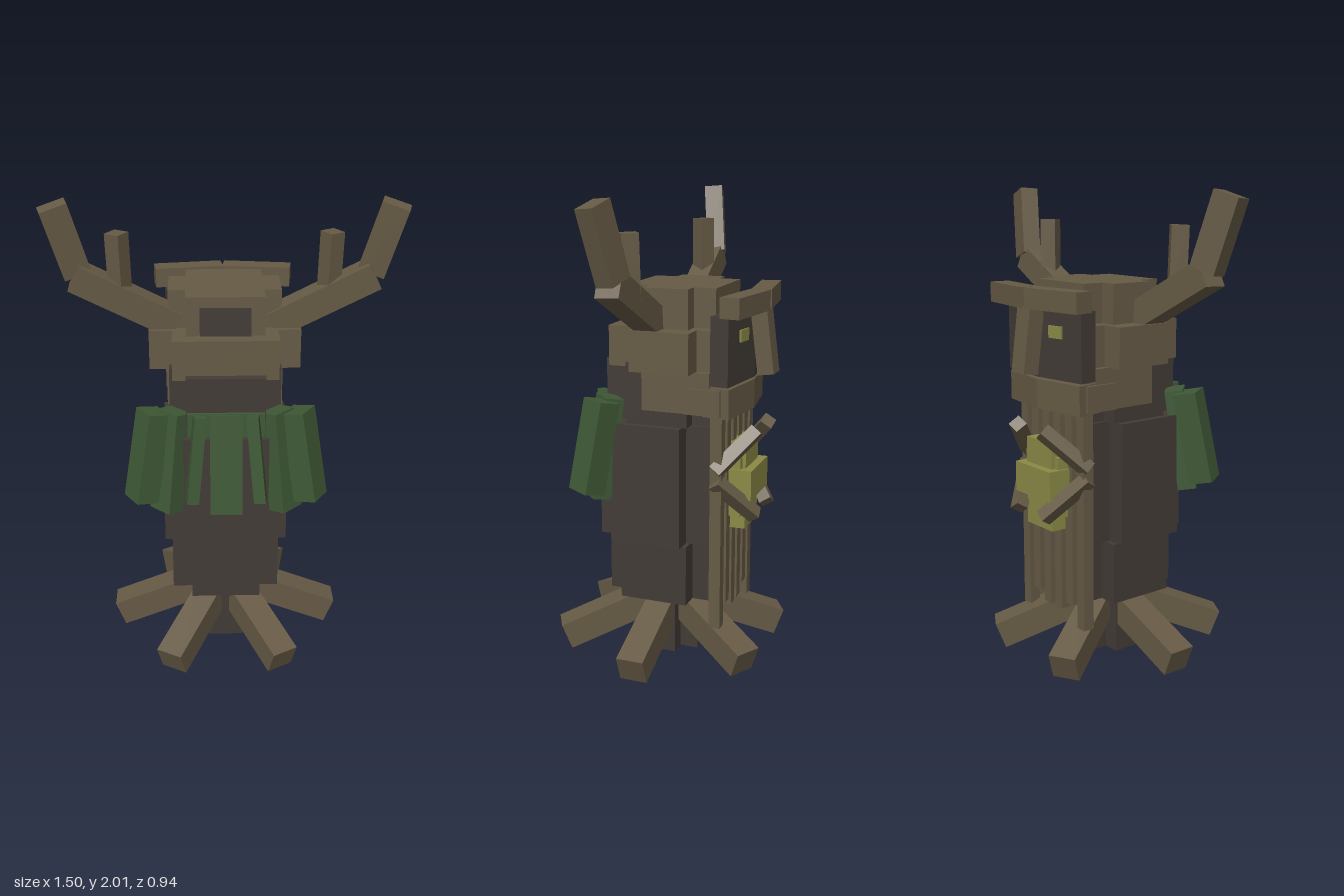
import * as THREE from 'three';

const mat = (name, color) => {
  const m = new THREE.MeshStandardMaterial({ color });
  m.name = name;
  return m;
};

export function createModel() {
  const bark = mat('bark', 0x665a45);
  const dark = mat('dark wood', 0x423b36);
  const leaf = mat('leaf green', 0x3f5936);
  const moss = mat('glowing moss', 0x8b8a46);
  const root = new THREE.Group();
  root.name = 'treeSpirit';

  // Box given by its extents along each axis
  const box = (name, m, x0, x1, y0, y1, z0, z1, parent = root) => {
    const mesh = new THREE.Mesh(new THREE.BoxGeometry(x1 - x0, y1 - y0, z1 - z0), m);
    mesh.position.set((x0 + x1) / 2, (y0 + y1) / 2, (z0 + z1) / 2);
    mesh.name = name;
    parent.add(mesh);
    return mesh;
  };
  // Square beam running between two points
  const up = new THREE.Vector3(0, 1, 0);
  const beam = (name, m, a, b, w, d, twist = 0) => {
    const p = new THREE.Vector3(...a), q = new THREE.Vector3(...b);
    const mesh = new THREE.Mesh(new THREE.BoxGeometry(w, p.distanceTo(q), d), m);
    mesh.position.copy(p).add(q).multiplyScalar(0.5);
    mesh.quaternion.setFromUnitVectors(up, q.sub(p).normalize());
    mesh.rotateY(twist);
    mesh.name = name;
    root.add(mesh);
  };
  // Plus-shaped block made from two crossing boxes
  const cross = (name, m, y0, y1, wideX, wideZ0, wideZ1, deepX, deepZ0, deepZ1) => {
    box(name + 'Wide', m, -wideX, wideX, y0, y1, wideZ0, wideZ1);
    box(name + 'Deep', m, -deepX, deepX, y0, y1, deepZ0, deepZ1);
  };

  // Trunk
  cross('trunkBase', dark, 0, 0.28, 0.15, -0.07, 0.07, 0.08, -0.15, 0.15);
  cross('trunkLower', dark, 0.27, 0.535, 0.235, -0.15, 0.15, 0.15, -0.23, 0.235);
  cross('trunkUpper', dark, 0.535, 1.06, 0.265, -0.13, 0.18, 0.18, -0.25, 0.265);
  cross('neck', dark, 1.06, 1.32, 0.235, -0.15, 0.12, 0.165, -0.24, 0.235);

  // Hood and crown
  box('hoodSides', bark, -0.245, 0.245, 1.125, 1.3, -0.25, 0.045);
  cross('hood', bark, 1.3, 1.47, 0.317, -0.187, 0.07, 0.22, -0.31, 0.2);
  cross('crown', bark, 1.47, 1.635, 0.235, -0.155, 0.04, 0.163, -0.25, 0.137);
  box('crownPanel', dark, -0.105, 0.105, 1.47, 1.59, 0.136, 0.143);

  // Face, brows, eyes and chin: two halves swept back from the centre
  for (const s of [-1, 1]) {
    const half = new THREE.Group();
    half.name = s > 0 ? 'faceLeft' : 'faceRight';
    half.position.z = -0.37;
    half.rotation.y = -s * 0.14;
    root.add(half);
    const side = (name, m, x0, x1, ...r) =>
      box(name, m, Math.min(s * x0, s * x1), Math.max(s * x0, s * x1), ...r, half);
    side('facePlate', dark, 0, 0.26, 1.25, 1.535, 0, 0.08);
    side('brow', bark, 0, 0.3, 1.535, 1.62, -0.065, 0.02);
    side('eye', moss, 0.08, 0.155, 1.42, 1.47, -0.008, 0.001);
    side('chin', bark, 0, 0.25, 1.115, 1.24, 0, 0.12);
    box('cheek', bark, s * 0.225 - 0.03, s * 0.225 + 0.03, 1.125, 1.235, -0.3, -0.15);
  }
  beam('nose', bark, [0, 1.27, -0.43], [0, 1.54, -0.395], 0.09, 0.07);

  // Beard strands
  [[0.2, 0.18], [0.12, 0.27], [0.04, 0.23]].forEach(([x, y]) => {
    for (const s of [-1, 1])
      box('beardStrand', bark, s * x - 0.024, s * x + 0.024, y, 1.3, -0.3, -0.25);
  });

  // Glowing heart held by four twigs
  box('heartCore', moss, -0.09, 0.09, 0.6, 0.98, -0.365, -0.25);
  box('heartMiddle', moss, -0.115, 0.115, 0.66, 0.92, -0.35, -0.25);
  box('heartFront', moss, -0.125, 0.125, 0.74, 0.87, -0.4, -0.25);
  for (const s of [-1, 1]) {
    beam('upperTwig', bark, [s * 0.22, 0.88, -0.27], [s * 0.09, 1.04, -0.41], 0.055, 0.055);
    beam('lowerTwig', bark, [s * 0.22, 0.84, -0.27], [s * 0.09, 0.67, -0.41], 0.055, 0.055);
  }

  // Six roots spread around the base
  for (let i = 0; i < 6; i++) {
    const arm = new THREE.Group();
    arm.name = 'root';
    arm.rotation.y = i * Math.PI / 3;
    root.add(arm);
    const r = box('rootBeam', bark, -0.2, 0.2, -0.06, 0.06, -0.06, 0.06, arm);
    r.position.set(0.302, 0.13, 0);
    r.rotation.z = -0.375;
  }

  // Antlers
  for (const s of [-1, 1]) {
    beam('antlerBranch', bark, [s * 0.2, 1.48, 0], [s * 0.615, 1.695, 0.02], 0.115, 0.1);
    beam('antlerTip', bark, [s * 0.605, 1.7, 0.005], [s * 0.685, 1.99, 0.048], 0.115, 0.08, -s * 0.25);
    beam('antlerProng', bark, [s * 0.43, 1.6, 0.01], [s * 0.437, 1.87, 0.015], 0.07, 0.07, s * 0.6);
  }

  // Leaf mantle
  box('leafCollar', leaf, -0.16, 0.16, 1.065, 1.17, 0.2, 0.25);
  beam('centreLeaf', leaf, [0, 1.165, 0.235], [0, 0.72, 0.275], 0.135, 0.05);
  for (const s of [-1, 1]) {
    beam('innerLeaf', leaf, [s * 0.115, 1.165, 0.23], [s * 0.15, 0.785, 0.265], 0.13, 0.05, s * 0.15);
    beam('middleLeaf', leaf, [s * 0.215, 1.165, 0.2], [s * 0.255, 0.73, 0.25], 0.12, 0.08, s * 0.55);
    beam('outerLeaf', leaf, [s * 0.3, 1.165, 0.2], [s * 0.36, 0.78, 0.25], 0.12, 0.1, s * 0.7);
  }
  return root;
}
